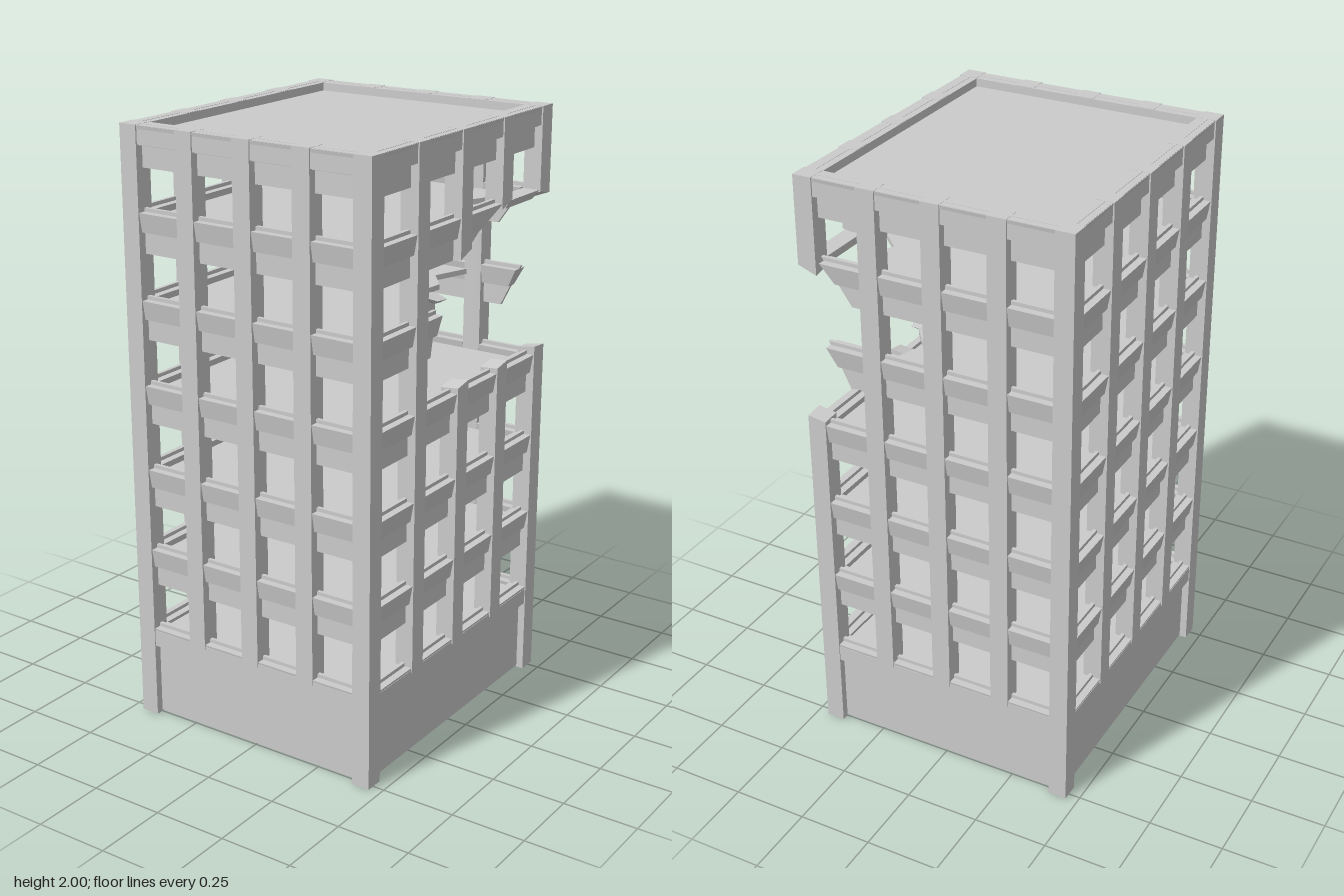
import * as THREE from 'three';

const HX = 0.46, HZ = 0.525, POST = 0.063;
const LEVELS = [0.33, 0.615, 0.895, 1.18, 1.46, 1.74, 2.01];
const mat = new THREE.MeshStandardMaterial({ color: 0xcccccc, flatShading: true, side: THREE.DoubleSide });

function add(parent, name, geo, x = 0, y = 0, z = 0) {
  const mesh = new THREE.Mesh(geo, mat);
  mesh.name = name;
  mesh.position.set(x, y, z);
  parent.add(mesh);
  return mesh;
}

// upright post; ragTop / ragBottom tilt the broken ends
function post(parent, name, x, z, y0, y1, ragTop = 0, ragBottom = 0) {
  const h = y1 - y0, geo = new THREE.BoxGeometry(POST, h, POST), p = geo.attributes.position;
  for (let i = 0; i < p.count; i++) {
    const rag = p.getY(i) > 0 ? ragTop : ragBottom;
    p.setY(i, p.getY(i) + rag * (Math.sign(p.getX(i)) + 0.5 * Math.sign(p.getZ(i))));
  }
  geo.computeVertexNormals();
  return add(parent, name, geo, x, (y0 + y1) / 2, z);
}

// section (outward, y) swept along x; slant0 / slant1 shear the ends by height below the top
function sweep(section, x0, x1, top, slant0 = 0, slant1 = 0) {
  const geo = new THREE.ExtrudeGeometry(new THREE.Shape(section.map(([a, b]) => new THREE.Vector2(a, b))),
    { depth: 1, bevelEnabled: false });
  const p = geo.attributes.position;
  for (let i = 0; i < p.count; i++) {
    const out = p.getX(i), y = p.getY(i), atStart = p.getZ(i) < 0.5;
    // local extrusion axis runs toward -x so that faces keep their winding
    const x = atStart ? Math.max(x0, x1 - slant1 * (top - y)) : Math.min(x1, x0 + slant0 * (top - y));
    p.setXYZ(i, x, y, out);
  }
  geo.computeVertexNormals();
  return geo;
}

// one window bay: thin panel with a tapered ledge beam around it
function spandrel(parent, x0, x1, t, depth, s0 = 0, s1 = 0) {
  const c = depth - 0.034, top = Math.min(t, 2), low = Math.max(t - 0.145, 0.255);
  add(parent, 'spandrelPanel', sweep(
    [[c - 0.006, low], [c + 0.006, low], [c + 0.006, top], [c - 0.006, top]], x0, x1, top, s0, s1));
  add(parent, 'ledgeBeam', sweep(
    [[c - 0.02, t - 0.075], [c + 0.02, t - 0.075], [c + 0.031, t - 0.012], [c - 0.031, t - 0.012]],
    x0, x1, top, s0, s1));
}

// a facade in local space, facing +z; damage(k, bay) may change or remove a bay
function facade(root, name, angle, half, depth, postX, damage = () => ({}), posts = {}) {
  const g = new THREE.Group();
  g.name = name;
  g.rotation.y = angle;
  root.add(g);
  const zc = depth - POST / 2;
  [-postX, 0, postX].forEach((x, i) => {
    const cut = posts[i];
    if (cut) {
      post(g, 'brokenPostLower', x, zc, 0.3, cut[0], 0.006);
      post(g, 'brokenPostUpper', x, zc, cut[1], 2, 0, 0.012);
    } else post(g, 'facadePost', x, zc, 0.3, 2);
  });
  const c = [-half + POST / 2, -postX, 0, postX, half - POST / 2];
  LEVELS.forEach((t, k) => {
    for (let b = 0; b < 4; b++) {
      const d = damage(k, b);
      if (!d) continue;
      spandrel(g, d.x0 ?? c[b] + POST / 2, d.x1 ?? c[b + 1] - POST / 2, t, depth, d.s0, d.s1);
    }
  });
  // recessed ground wall trim and parapet rail
  add(g, 'baseBand', new THREE.BoxGeometry(2 * (half - POST), 0.055, 0.05), 0, 0.2825, depth - 0.028);
  add(g, 'parapetRail', new THREE.BoxGeometry(2 * half - 0.01, 0.06, 0.06), 0, 1.969, depth - 0.035);
  return g;
}

// horizontal slab from an outline of [x, z] points
function slab(root, name, outline, y, h) {
  const shape = new THREE.Shape(outline.map(([x, z]) => new THREE.Vector2(x, -z)));
  const geo = new THREE.ExtrudeGeometry(shape, { depth: h, bevelEnabled: false });
  geo.rotateX(-Math.PI / 2);
  return add(root, name, geo, 0, y, 0);
}

export function createModel() {
  const root = new THREE.Group();
  root.name = 'damagedTower';

  // ground storey
  add(root, 'baseBlock', new THREE.BoxGeometry(0.87, 0.3, 1.0), 0, 0.155, 0);

  // corner posts, the rear left one broken through
  const cx = HX - POST / 2, cz = HZ - POST / 2;
  for (const [x, z] of [[-cx, cz], [cx, cz], [-cx, -cz]]) post(root, 'cornerPost', x, z, 0, 2);
  post(root, 'brokenCornerLower', cx, -cz, 0, 1.19, 0.005);
  post(root, 'brokenCornerUpper', cx, -cz, 1.705, 2, 0, 0.012);

  // facades
  facade(root, 'frontFacade', 0, HX, HZ, 0.215);
  facade(root, 'plainSideFacade', -Math.PI / 2, HZ, HX, 0.247);
  facade(root, 'backFacade', Math.PI, HX, HZ, 0.215, (k, b) => {
    if (b === 0 && k === 4) return { x0: -0.385, s0: 0.5 };
    if (b === 0 && k === 5) return { x0: -0.395, s0: 0.7 };
    return {};
  });
  const side = facade(root, 'damagedSideFacade', Math.PI / 2, HZ, HX, 0.247, (k, b) => {
    if (k === 4 && b === 1) return { x1: -0.125, s1: 0.2 };
    if (k === 4 && b > 1) return null;
    if (k === 5 && b === 2) return { x1: 0.25, s1: 1.9 };
    if (k === 5 && b === 3) return null;
    return {};
  }, { 1: [1.19, 1.605], 2: [1.19, 1.715] });
  // remaining strip of the torn ledge
  add(side, 'tornLedge', sweep([[0.40, 1.70], [0.44, 1.70], [0.455, 1.728], [0.395, 1.728]], 0.27, 0.47, 1.73, 0, 0.8));

  // floors, two of them torn away at the damaged corner
  const fx = 0.424, fz = 0.488;
  const whole = [[-fx, fz], [fx, fz], [fx, -fz], [-fx, -fz]];
  const torn = {
    4: [[fx, 0.13], [0.33, 0.09], [0.29, -0.03], [0.21, -0.1], [0.22, -0.24], [0.15, -0.33], [0.2, -fz]],
    5: [[fx, -0.04], [0.34, -0.1], [0.35, -0.2], [0.28, -0.27], [0.33, -0.38], [0.29, -fz]],
  };
  LEVELS.slice(0, 6).forEach((t, k) => {
    const outline = torn[k] ? [whole[0], whole[1], ...torn[k], whole[3]] : whole;
    slab(root, torn[k] ? 'tornFloor' : 'floor', outline, t - 0.052, 0.018);
  });
  slab(root, 'roof', whole, 1.95, 0.022);

  // loose slab pieces hanging at the tear
  [[0.31, 1.675, -0.12, 0.5], [0.3, 1.67, -0.33, -0.4], [0.24, 1.4, -0.16, 0.3]].forEach(([x, y, z, r]) => {
    const m = add(root, 'hangingShard', new THREE.CylinderGeometry(0.05, 0.03, 0.016, 5), x, y, z);
    m.rotation.set(r * 0.5, r * 3, -Math.abs(r));
  });
  return root;
}
